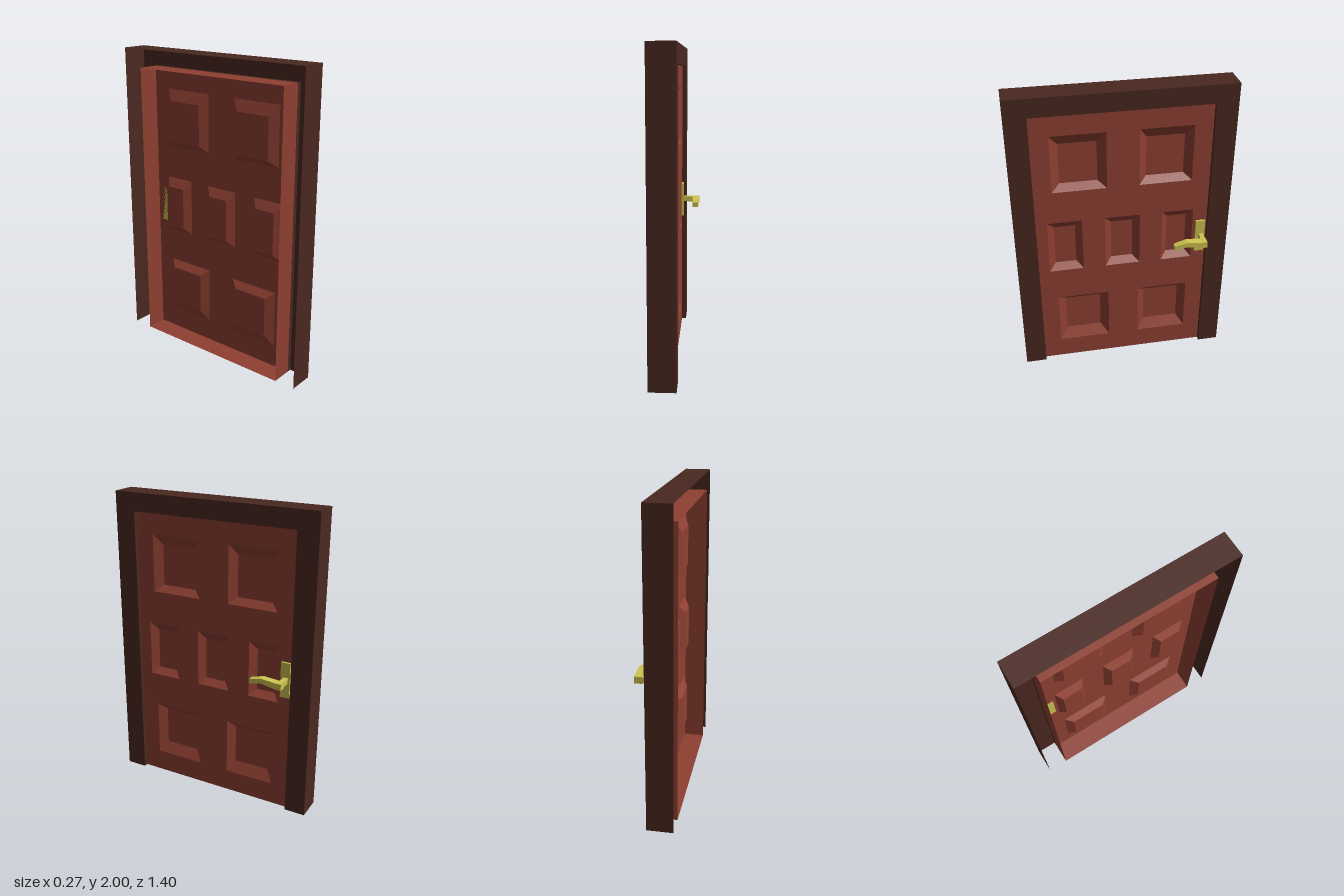
import * as THREE from 'three';
import { mergeGeometries } from 'three/addons/utils/BufferGeometryUtils.js';

const material = (color) => new THREE.MeshStandardMaterial({ color, flatShading: true, side: THREE.DoubleSide });
const frameMat = material(0x4a2820), doorMat = material(0x8f4032), brassMat = material(0xcdc350);

// Built facing +z, then turned to face +x
const BACK = -0.135, FRONT = 0.035, FACE = 0.005, RECESS = 0.04;

// Corners of an upright rectangle, counter-clockwise from the front
const rect = ([x0, x1, y0, y1], z) => [[x0, y0, z], [x1, y0, z], [x1, y1, z], [x0, y1, z]];

function quads(list) {
  const pos = list.flatMap(([a, b, c, d]) => [a, b, c, a, c, d].flat());
  const g = new THREE.BufferGeometry();
  g.setAttribute('position', new THREE.Float32BufferAttribute(pos, 3));
  g.computeVertexNormals();
  return g;
}

// Quads joining two outlines point by point
function band(a, b, closed = true) {
  const list = [];
  for (let i = 0; i < a.length - (closed ? 0 : 1); i++) {
    const j = (i + 1) % a.length;
    list.push([a[i], a[j], b[j], b[i]]);
  }
  return list;
}

// Flat shape at a given depth, reduced to plain positions and normals
function sheet(shape, z) {
  const g = new THREE.ShapeGeometry(shape).toNonIndexed();
  g.deleteAttribute('uv');
  return g.translate(0, 0, z);
}

const outline = (points) => new THREE.Shape(points.map(([x, y]) => new THREE.Vector2(x, y)));

function mesh(name, geometry, mat) {
  const m = new THREE.Mesh(geometry, mat);
  m.name = name;
  return m;
}

// Frame: front, outer sides and reveal, open at the back and under the jambs
function makeFrame() {
  const arch = (w, h, z) => [[w, 0, z], [w, h, z], [-w, h, z], [-w, 0, z]];
  const outer = arch(0.7, 2, FRONT), inner = arch(0.562, 1.88, FRONT);
  const face = outline([...outer, ...inner.slice().reverse()]);
  return mesh('doorFrame', mergeGeometries([
    sheet(face, FRONT),
    quads([
      ...band(arch(0.7, 2, BACK), outer, false),
      ...band(inner, arch(0.562, 1.88, FACE), false),
    ]),
  ]), frameMat);
}

// Door leaf: a shell open at the back, with bevelled recessed panels
function makeDoor() {
  const bounds = [-0.562, 0.562, 0, 1.88];
  const rows = [
    { y: [1.357, 1.74], inY: [1.4, 1.67], x: [[-0.445, -0.1], [0.106, 0.445]], inX: [[-0.392, -0.154], [0.154, 0.395]] },
    { y: [0.758, 1.135], inY: [0.8, 1.08], x: [[-0.488, -0.265], [-0.115, 0.112], [0.26, 0.467]], inX: [[-0.445, -0.307], [-0.073, 0.07], [0.302, 0.43]] },
    { y: [0.148, 0.53], inY: [0.223, 0.488], x: [[-0.445, -0.1], [0.106, 0.445]], inX: [[-0.392, -0.154], [0.154, 0.395]] },
  ];
  const face = outline(rect(bounds, FACE));
  const list = band(rect(bounds, BACK), rect(bounds, FACE));
  for (const row of rows) {
    row.x.forEach((x, i) => {
      const edge = rect([...x, ...row.y], FACE);
      const floor = rect([...row.inX[i], ...row.inY], FACE - RECESS);
      face.holes.push(new THREE.Path(edge.map(([u, v]) => new THREE.Vector2(u, v)).reverse()));
      list.push(...band(edge, floor), floor);
    });
  }
  return mesh('doorLeaf', mergeGeometries([sheet(face, FACE), quads(list)]), doorMat);
}

function box(name, [x0, x1, y0, y1], z0, z1) {
  const g = new THREE.BoxGeometry(x1 - x0, y1 - y0, z1 - z0);
  g.translate((x0 + x1) / 2, (y0 + y1) / 2, (z0 + z1) / 2);
  return mesh(name, g, brassMat);
}

// Lever lofted through cross-sections: x, z range, y range
function makeLever() {
  const sections = [
    [0.541, 0.078, 0.132, 0.907, 0.95],
    [0.505, 0.08, 0.132, 0.909, 0.95],
    [0.405, 0.084, 0.132, 0.928, 0.96],
    [0.323, 0.09, 0.127, 0.907, 0.939],
  ].map(([x, z0, z1, y0, y1]) => [[x, y0, z0], [x, y0, z1], [x, y1, z1], [x, y1, z0]]);
  const list = [sections[0].slice().reverse(), sections.at(-1)];
  for (let i = 1; i < sections.length; i++) list.push(...band(sections[i - 1], sections[i]));
  return mesh('lever', quads(list), brassMat);
}

export function createModel() {
  const handle = new THREE.Group();
  handle.name = 'handle';
  handle.add(
    box('backPlate', [0.488, 0.551, 0.81, 1.047], FACE, 0.02),
    box('handleStem', [0.508, 0.538, 0.912, 0.948], 0.02, 0.08),
    makeLever(),
  );

  const assembly = new THREE.Group();
  assembly.name = 'doorAssembly';
  assembly.add(makeFrame(), makeDoor(), handle);
  assembly.rotation.y = Math.PI / 2;

  const model = new THREE.Group();
  model.name = 'door';
  model.add(assembly);
  return model;
}
